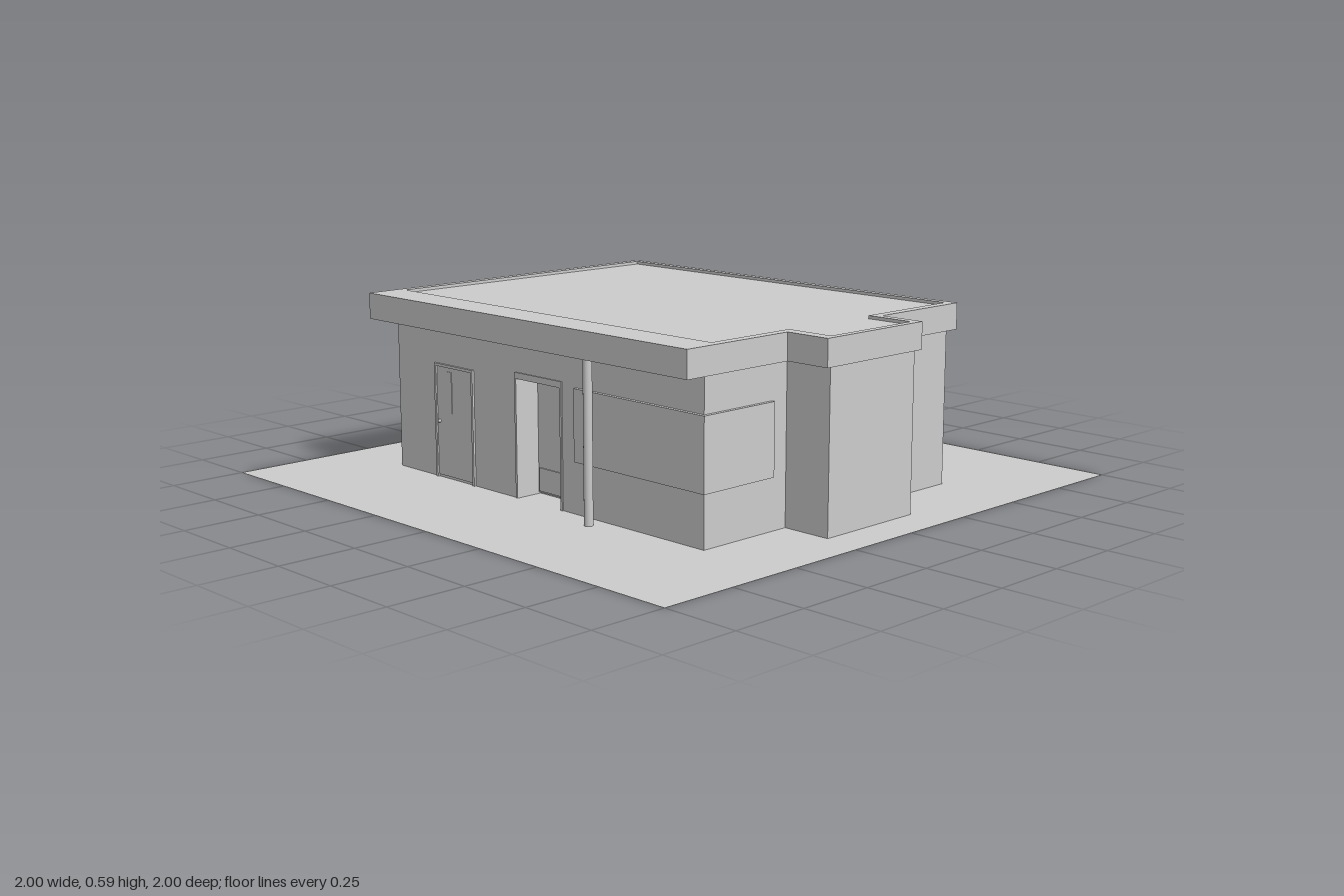
import * as THREE from 'three';

const material = new THREE.MeshStandardMaterial({ color: 0xcccccc, side: THREE.DoubleSide });

function add(parent, name, geometry) {
  const mesh = new THREE.Mesh(geometry, material);
  mesh.name = name;
  parent.add(mesh);
  return mesh;
}

// Box given by its limits on each axis
function box(parent, name, [x0, x1], [y0, y1], [z0, z1]) {
  const mesh = add(parent, name, new THREE.BoxGeometry(x1 - x0, y1 - y0, z1 - z0));
  mesh.position.set((x0 + x1) / 2, (y0 + y1) / 2, (z0 + z1) / 2);
  return mesh;
}

// Upright prism from a floor plan of [x, z] corners, with an optional hole
function prism(parent, name, plan, y0, y1, hole) {
  const toPoints = (list) => list.map(([x, z]) => new THREE.Vector2(x, -z));
  const shape = new THREE.Shape(toPoints(plan));
  if (hole) shape.holes.push(new THREE.Path(toPoints(hole)));
  const geometry = new THREE.ExtrudeGeometry(shape, { depth: y1 - y0, bevelEnabled: false });
  geometry.rotateX(-Math.PI / 2);
  geometry.translate(0, y0, 0);
  return add(parent, name, geometry);
}

// Rectangle with a side bay on +x
function bayPlan(left, right, back, front, bayRight, bayBack, bayFront) {
  return [
    [left, front], [right, front], [right, bayFront], [bayRight, bayFront],
    [bayRight, bayBack], [right, bayBack], [right, back], [left, back],
  ];
}

export function createModel() {
  const house = new THREE.Group();
  house.name = 'house';

  // Ground sheet
  add(house, 'ground', new THREE.PlaneGeometry(2, 2).rotateX(-Math.PI / 2));

  // Walls, with a notch in the front for the entrance
  const wallTop = 0.505;
  const wallFront = 0.56;
  const recess = 0.47;
  const walls = bayPlan(-0.715, 0.705, -0.53, wallFront, 0.87, -0.16, 0.22);
  walls.splice(1, 0, [-0.115, wallFront], [-0.115, recess], [0.105, recess], [0.105, wallFront]);
  prism(house, 'walls', walls, 0, wallTop);
  box(house, 'entranceLintel', [-0.115, 0.105], [0.4, wallTop], [recess, wallFront]);

  // Entrance inside the notch
  const entrance = new THREE.Group();
  entrance.name = 'entrance';
  house.add(entrance);
  box(entrance, 'entranceHead', [-0.115, 0.105], [0.38, 0.4], [recess, wallFront + 0.004]);
  for (const x of [-0.115, 0.097]) {
    box(entrance, 'entranceJamb', [x, x + 0.008], [0, 0.38], [recess, wallFront + 0.004]);
  }
  box(entrance, 'entranceDoor', [-0.107, 0.097], [0.005, 0.38], [recess, recess + 0.006]);
  box(entrance, 'entranceKickPlate', [-0.1, 0.09], [0.01, 0.085], [recess, recess + 0.01]);

  // Side door with frame, narrow pane and knob
  const door = new THREE.Group();
  door.name = 'sideDoor';
  house.add(door);
  box(door, 'doorLeaf', [-0.507, -0.328], [0.008, 0.368], [wallFront - 0.01, wallFront + 0.003]);
  for (const x of [-0.517, -0.328]) {
    box(door, 'doorJamb', [x, x + 0.009], [0, 0.377], [wallFront - 0.01, wallFront + 0.007]);
  }
  box(door, 'doorHead', [-0.508, -0.328], [0.368, 0.377], [wallFront - 0.01, wallFront + 0.007]);
  box(door, 'doorPane', [-0.462, -0.43], [0.22, 0.355], [wallFront, wallFront + 0.005]);
  const knob = add(door, 'doorKnob', new THREE.SphereGeometry(0.006, 12, 8));
  knob.position.set(-0.492, 0.188, wallFront + 0.008);

  // Window wrapping round the front corner
  prism(house, 'cornerWindow', [
    [0.17, 0.572], [0.717, 0.572], [0.717, 0.283],
    [0.695, 0.283], [0.695, 0.55], [0.17, 0.55],
  ], 0.165, 0.39);

  // Porch post under the front overhang
  const post = add(house, 'porchPost', new THREE.CylinderGeometry(0.014, 0.014, wallTop, 16));
  post.position.set(0.283, wallTop / 2, 0.616);

  // Flat roof, with a raised rim that is wider along the front
  const outer = bayPlan(-0.738, 0.733, -0.545, 0.655, 0.885, -0.175, 0.25);
  const inner = bayPlan(-0.71, 0.702, -0.52, 0.53, 0.862, -0.147, 0.21);
  prism(house, 'roofRim', outer, 0.505, 0.59, inner);
  prism(house, 'roofDeck', inner, 0.505, 0.58);

  return house;
}
